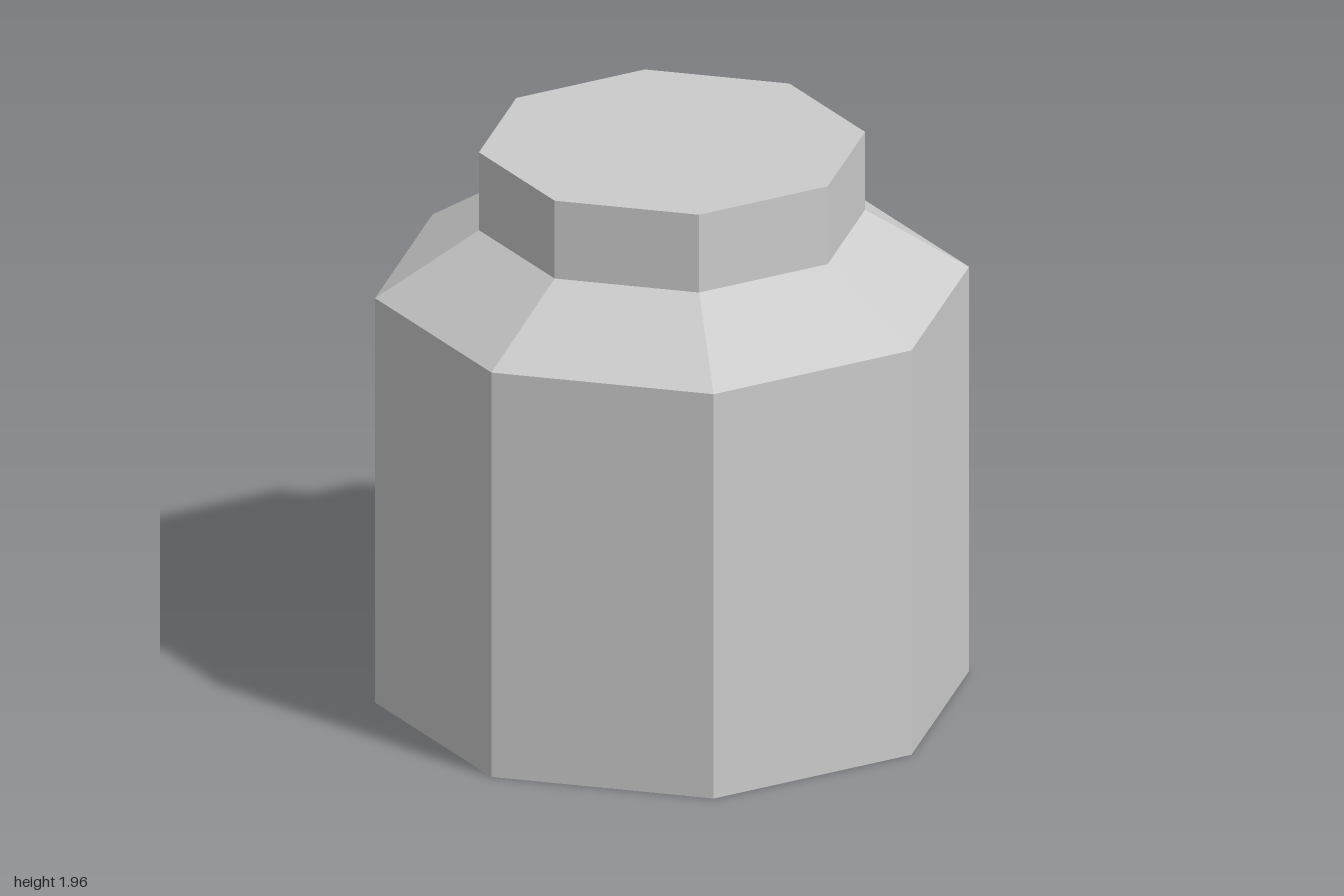
import * as THREE from 'three';

const SIDES = 8;

export function createModel() {
  const jar = new THREE.Group();
  jar.name = 'jar';
  const material = new THREE.MeshStandardMaterial({ color: 0xcccccc, flatShading: true });

  // Turns a bottom-to-top [radius, height] profile into a faceted part
  const addPart = (name, profile) => {
    const points = profile.map(([r, y]) => new THREE.Vector2(r, y));
    const geometry = new THREE.LatheGeometry(points, SIDES).toNonIndexed();
    geometry.computeVertexNormals();
    const mesh = new THREE.Mesh(geometry, material);
    mesh.name = name;
    jar.add(mesh);
  };

  // Straight walls with a closed base
  addPart('body', [[0, 0], [1, 0], [1, 1.455]]);
  // Slope from the walls in to the lid
  addPart('shoulder', [[1, 1.455], [0.65, 1.68]]);
  // Short lid with a flat top
  addPart('lid', [[0.65, 1.68], [0.65, 1.96], [0, 1.96]]);

  return jar;
}
